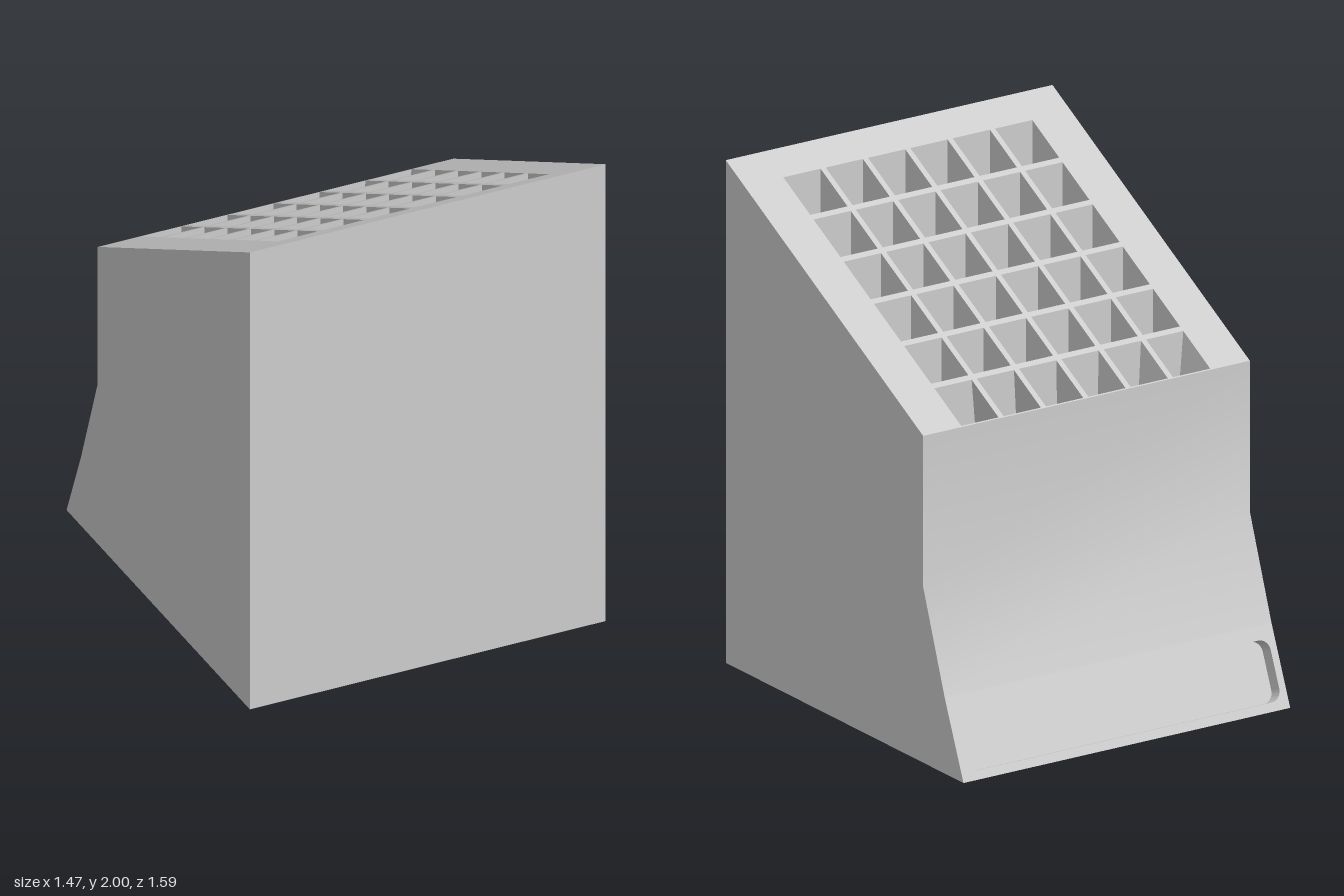
import * as THREE from 'three';
import { mergeGeometries, toCreasedNormals } from 'three/addons/utils/BufferGeometryUtils.js';

const W = 0.737, F = 0.795, EDGE = -0.525; // half width, front z, upper back z
const slopeY = z => 2 - (F - z) * 0.7 / (F - EDGE);
const v = (x, y, z) => new THREE.Vector3(x, y, z);

// Flat polygon from corners in counter-clockwise order, as a fan
function fan(points) {
  const out = [];
  for (let i = 1; i < points.length - 1; i++) out.push(points[0], points[i], points[i + 1]);
  return new THREE.BufferGeometry().setFromPoints(out);
}

// Recess with inward facing walls from rim to base, and a floor
function well(rim, base) {
  const walls = rim.map((a, i) => {
    const j = (i + 1) % rim.length;
    return fan([a, rim[j], base[j], base[i]]);
  });
  return [...walls, fan(base)];
}

function flatShape(shape) {
  const g = new THREE.ShapeGeometry(shape).toNonIndexed();
  g.deleteAttribute('uv');
  g.deleteAttribute('normal');
  return g;
}

const rectPoints = (x0, x1, y0, y1) => [[x0, y0], [x1, y0], [x1, y1], [x0, y1]].map(p => new THREE.Vector2(...p));

export function createModel() {
  const group = new THREE.Group();
  const material = new THREE.MeshStandardMaterial({ color: 0xcccccc, side: THREE.DoubleSide });
  const add = (name, parts, crease = 0.5) => {
    const mesh = new THREE.Mesh(toCreasedNormals(mergeGeometries(parts), crease), material);
    mesh.name = name;
    group.add(mesh);
  };

  // Side walls from the z, y profile
  const profile = [[F, 0], [F, 2], [EDGE, 1.3], [EDGE, 0.7], [-0.67, 0.3], [-F, 0]];
  for (const s of [1, -1]) {
    const side = flatShape(new THREE.Shape(profile.map(([z, y]) => new THREE.Vector2(-s * z, y))));
    side.rotateY(s * Math.PI / 2).translate(s * W, 0, 0);
    add(s > 0 ? 'leftSide' : 'rightSide', [side]);
  }
  add('front', [fan([v(-W, 0, F), v(W, 0, F), v(W, 2, F), v(-W, 2, F)])]);
  add('base', [fan([v(-W, 0, -F), v(W, 0, -F), v(W, 0, F), v(-W, 0, F)])]);

  // Sloping top with a grid of square openings
  const top = new THREE.Shape(rectPoints(-W, W, -F, -EDGE));
  const pockets = [];
  for (let row = 0; row < 6; row++) {
    for (let col = 0; col < 6; col++) {
      const x = (col - 2.5) * 0.191, z = -0.43 + row * 0.202;
      const x0 = x - 0.084, x1 = x + 0.084, z0 = z - 0.09, z1 = z + 0.09;
      top.holes.push(new THREE.Path(rectPoints(x0, x1, -z1, -z0)));
      // The rearmost row leans towards the middle
      const lean = row === 0 ? -x * 0.125 : 0;
      const corners = [[x0, z1], [x1, z1], [x1, z0], [x0, z0]];
      pockets.push(...well(
        corners.map(([a, b]) => v(a, slopeY(b), b)),
        corners.map(([a, b]) => v(a + lean, 0.7, b))));
    }
  }
  const topFace = flatShape(top).rotateX(-Math.PI / 2);
  const p = topFace.attributes.position;
  for (let i = 0; i < p.count; i++) p.setY(i, slopeY(p.getZ(i)));
  add('slopingTop', [topFace]);
  add('pockets', pockets);

  // Back, bending outwards to a foot panel
  const back = [];
  for (let i = 2; i < 4; i++) {
    const [za, ya] = profile[i], [zb, yb] = profile[i + 1];
    back.push(fan([v(W, yb, zb), v(-W, yb, zb), v(-W, ya, za), v(W, ya, za)]));
  }

  // Foot panel with a rounded recess, drawn flat and then tilted into place
  const up = v(0, 0.3, F - 0.67), height = up.length();
  up.normalize();
  const across = v(-1, 0, 0);
  const place = new THREE.Matrix4().makeBasis(across, up, across.clone().cross(up)).setPosition(0, 0, -F);
  const r = 0.045, hx = 0.708, low = 0.035, high = 0.272;
  const slot = new THREE.Path();
  slot.absarc(hx - r, low + r, r, -Math.PI / 2, 0);
  slot.absarc(hx - r, high - r, r, 0, Math.PI / 2);
  slot.absarc(-hx + r, high - r, r, Math.PI / 2, Math.PI);
  slot.absarc(-hx + r, low + r, r, Math.PI, Math.PI * 1.5);
  const outline = slot.getPoints(8);
  const panel = new THREE.Shape(rectPoints(-W, W, 0, height));
  panel.holes.push(new THREE.Path(outline));
  back.push(flatShape(panel).applyMatrix4(place));
  add('back', back);

  const ring = z => outline.map(q => v(q.x, q.y, z).applyMatrix4(place));
  add('backRecess', well(ring(0), ring(-0.058)));
  return group;
}
